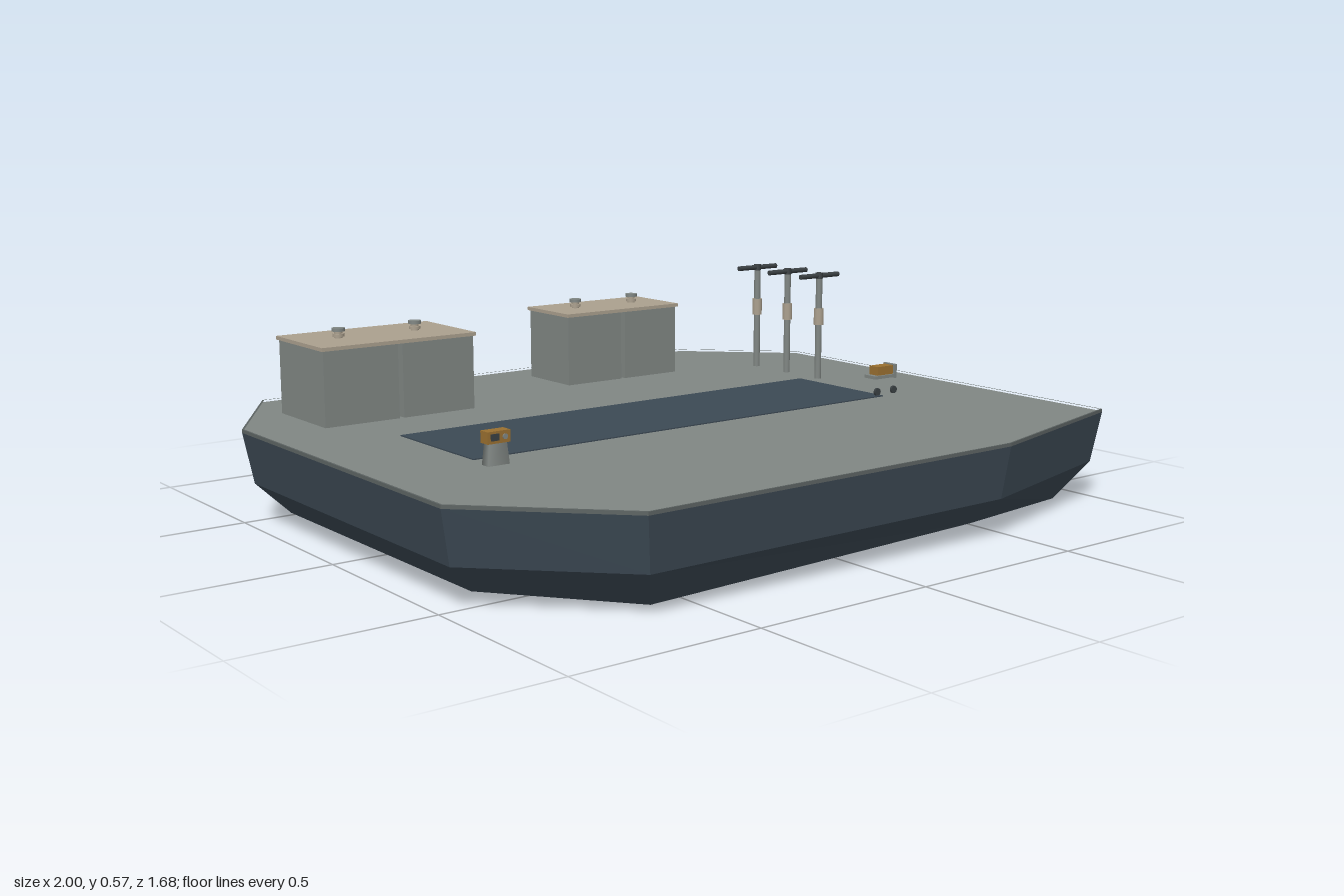
import * as THREE from 'three';

const paint = (name, color) => {
  const m = new THREE.MeshStandardMaterial({ color });
  m.name = name;
  return m;
};

// Deck outline as x, z, keel height; clockwise from above
const OUTLINE = [
  [-0.78, -0.84, 0.01], [0.72, -0.84, 0.01], [1, -0.57, 0.025], [1, 0.69, 0.002],
  [0.46, 0.84, 0.035], [-0.68, 0.84, 0.013], [-1, 0.52, 0.028], [-1, -0.49, 0.025],
];
const DECK = 0.248;

function outlineShape(scale, Type = THREE.Shape) {
  return new Type(OUTLINE.map(([x, z]) => new THREE.Vector2(x * scale, -z * scale)));
}

function hullGeometry() {
  const rings = [
    OUTLINE.map(([x, z, y]) => [x * 0.895, y, z * 0.895]),
    OUTLINE.map(([x, z]) => [x * 0.975, 0.108, z * 0.98]),
    OUTLINE.map(([x, z]) => [x, 0.245, z]),
  ];
  const pos = [];
  const n = OUTLINE.length;
  for (let i = 0; i < n; i++) {
    const j = (i + 1) % n;
    for (let r = 0; r < 2; r++) {
      const a = rings[r][i], b = rings[r][j], c = rings[r + 1][j], d = rings[r + 1][i];
      pos.push(...a, ...d, ...c, ...a, ...c, ...b);
    }
    pos.push(0, 0.018, 0, ...rings[0][i], ...rings[0][j]);
  }
  const g = new THREE.BufferGeometry();
  g.setAttribute('position', new THREE.Float32BufferAttribute(pos, 3));
  g.computeVertexNormals();
  return g;
}

export function createModel() {
  const hull = paint('hull blue', 0x3c4954);
  const grey = paint('deck grey', 0x808683);
  const beige = paint('lid beige', 0xaba08e);
  const dark = paint('dark metal', 0x3a4042);
  const orange = paint('equipment orange', 0x9a7030);
  const rimGrey = paint('rim grey', 0x5c6362);

  const model = new THREE.Group();
  model.name = 'barge';
  const add = (parent, name, geo, mat, x = 0, y = 0, z = 0) => {
    const m = new THREE.Mesh(geo, mat);
    m.name = name;
    m.position.set(x, y, z);
    parent.add(m);
    return m;
  };
  // Box given by its limits on each axis
  const box = (parent, name, mat, x0, x1, y0, y1, z0, z1) =>
    add(parent, name, new THREE.BoxGeometry(x1 - x0, y1 - y0, z1 - z0), mat,
      (x0 + x1) / 2, (y0 + y1) / 2, (z0 + z1) / 2);
  const rod = (parent, name, mat, r, h, x, y, z, sides = 12) =>
    add(parent, name, new THREE.CylinderGeometry(r, r, h, sides), mat, x, y, z);
  const group = (name) => {
    const g = new THREE.Group();
    g.name = name;
    model.add(g);
    return g;
  };

  // Hull, deck and low rim
  add(model, 'hull', hullGeometry(), hull);
  const slab = (shape, depth) =>
    new THREE.ExtrudeGeometry(shape, { depth, bevelEnabled: false }).rotateX(-Math.PI / 2);
  add(model, 'deck', slab(outlineShape(0.999), 0.006), grey, 0, DECK - 0.006, 0);
  const rim = outlineShape(1);
  rim.holes.push(outlineShape(0.995, THREE.Path));
  add(model, 'deckRim', slab(rim, 0.009), rimGrey, 0, 0.245, 0);
  box(model, 'deckPanel', hull, -0.7, 0.675, DECK - 0.002, DECK + 0.003, -0.19, 0.165);

  // Paired cabinets with a shared lid and two vents
  const cabinets = (x0, x1, z0, z1, vents) => {
    const g = group('cabinetPair');
    const mid = (x0 + x1) / 2;
    box(g, 'leftCabinet', grey, mid + 0.007, x1 - 0.006, DECK, 0.452, z0 + 0.006, z1 - 0.006);
    box(g, 'rightCabinet', grey, x0 + 0.006, mid - 0.007, DECK, 0.452, z0 + 0.006, z1 - 0.006);
    box(g, 'lid', beige, x0, x1, 0.452, 0.462, z0, z1);
    const vz = (z0 + z1) / 2;
    for (const vx of vents) {
      rod(g, 'ventStem', beige, 0.011, 0.03, vx, 0.473, vz);
      rod(g, 'ventCollar', beige, 0.016, 0.008, vx, 0.47, vz, 16);
      rod(g, 'ventCap', grey, 0.018, 0.009, vx, 0.485, vz, 16);
    }
  };
  cabinets(-0.813, -0.345, -0.663, -0.392, [-0.695, -0.46]);
  cabinets(0.053, 0.465, -0.74, -0.525, [0.155, 0.365]);

  // Row of T-shaped masts
  for (const z of [-0.172, -0.315, -0.458]) {
    const g = group('mast');
    rod(g, 'post', grey, 0.01, 0.31, 0.73, DECK + 0.155, z);
    rod(g, 'collar', beige, 0.015, 0.05, 0.73, 0.438, z);
    rod(g, 'cap', dark, 0.011, 0.018, 0.73, 0.562, z, 8);
    const bar = rod(g, 'crossbar', dark, 0.0075, 0.152, 0.73, 0.562, z, 10);
    bar.rotation.z = Math.PI / 2;
  }

  // Control console on a tapered stand
  const con = group('console');
  const stand = new THREE.CylinderGeometry(0.027, 0.033, 0.054, 4, 1).rotateY(Math.PI / 4);
  stand.scale(1.3, 1, 0.62);
  add(con, 'consoleStand', stand.toNonIndexed(), grey, -0.68, DECK + 0.027, 0.235);
  box(con, 'consoleHead', orange, -0.712, -0.648, 0.302, 0.332, 0.219, 0.251);
  box(con, 'consoleScreen', dark, -0.703, -0.68, 0.309, 0.326, 0.251, 0.253);
  const knob = rod(con, 'consoleKnob', grey, 0.007, 0.004, -0.663, 0.317, 0.252);
  knob.rotation.x = Math.PI / 2;

  // Small deck cart
  const cart = group('cart');
  box(cart, 'cartBed', grey, 0.652, 0.732, 0.298, 0.307, 0.111, 0.157);
  box(cart, 'cartLoad', orange, 0.667, 0.728, 0.307, 0.332, 0.116, 0.151);
  box(cart, 'cartBackPlate', grey, 0.728, 0.737, 0.295, 0.335, 0.111, 0.157);
  for (const x of [0.663, 0.728]) {
    const wheel = rod(cart, 'wheel', dark, 0.011, 0.007, x, 0.261, 0.154, 16);
    wheel.rotation.x = Math.PI / 2;
  }
  return model;
}
